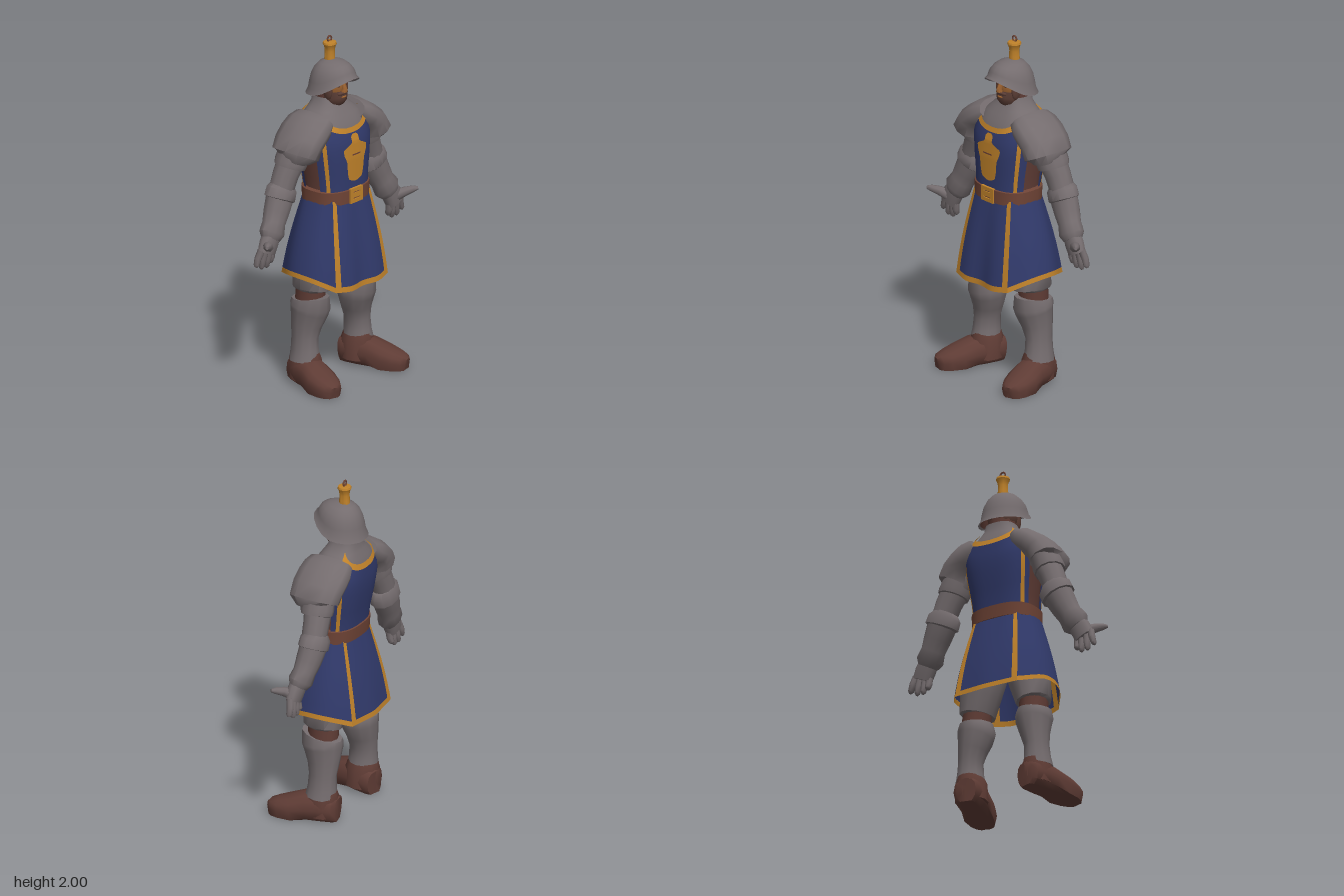
import * as THREE from 'three';
import { toCreasedNormals } from 'three/addons/utils/BufferGeometryUtils.js';

const mat = (name, color) => new THREE.MeshStandardMaterial({ name, color, side: THREE.DoubleSide });
const V = (x, y, z) => new THREE.Vector3(x, y, z);
const lerp = THREE.MathUtils.lerp;
const spow = (v, p) => Math.sign(v) * Math.abs(v) ** p;

// Piecewise linear lookup: rows of [key, value, value...]
function lookup(rows, k) {
  let i = 0;
  while (i < rows.length - 2 && k > rows[i + 1][0]) i++;
  const a = rows[i], b = rows[i + 1];
  const f = THREE.MathUtils.clamp((k - a[0]) / (b[0] - a[0]), 0, 1);
  return a.slice(1).map((v, j) => lerp(v, b[j + 1], f));
}

export function createModel() {
  const steel = mat('steel', 0x746c6e), blue = mat('blue cloth', 0x313a6b), gold = mat('gold', 0xc0822a);
  const leather = mat('leather', 0x5f3c35), strap = mat('belt leather', 0x6e4335);
  const skin = mat('skin', 0x99602f), hair = mat('hair', 0x5a3d35);
  const model = new THREE.Group();

  const add = (name, geo, material, parent = model) => {
    const m = new THREE.Mesh(geo, material);
    m.name = name;
    parent.add(m);
    return m;
  };
  const build = (pos, idx, crease) => {
    const g = new THREE.BufferGeometry();
    g.setAttribute('position', new THREE.Float32BufferAttribute(pos, 3));
    g.setIndex(idx);
    return toCreasedNormals(g, crease);
  };
  // Grid surface from a function of (s, t)
  function patch(fn, s0, s1, t0, t1, ns, nt, crease = 0.9) {
    const pos = [], idx = [], w = ns + 1;
    for (let j = 0; j <= nt; j++)
      for (let i = 0; i <= ns; i++) pos.push(...fn(lerp(s0, s1, i / ns), lerp(t0, t1, j / nt)).toArray());
    for (let j = 0; j < nt; j++)
      for (let i = 0; i < ns; i++) {
        const a = j * w + i;
        idx.push(a, a + w, a + 1, a + 1, a + w, a + w + 1);
      }
    return build(pos, idx, crease);
  }
  // Capped loft along rings [x, y, z, width radius, depth radius]; side mirrors x
  function loft(rings, { side = 1, sides = 12, ref = V(0, 0, 1), power = 1, rule = null } = {}) {
    const c = rings.map(r => V(r[0] * side, r[1], r[2])), pos = [], idx = [], n = c.length;
    c.forEach((p, k) => {
      const t = c[Math.min(k + 1, n - 1)].clone().sub(c[Math.max(k - 1, 0)]).normalize();
      const u = t.clone().cross(ref).normalize(), v = u.clone().cross(t);
      for (let i = 0; i < sides; i++) {
        const a = i / sides * Math.PI * 2;
        const q = p.clone().addScaledVector(u, spow(Math.cos(a), power) * rings[k][3])
          .addScaledVector(v, spow(Math.sin(a), power) * rings[k][4]);
        if (rule) rule(q);
        pos.push(q.x, q.y, q.z);
        const a0 = k * sides + i, a1 = k * sides + (i + 1) % sides;
        if (k < n - 1) idx.push(a0, a0 + sides, a1, a1, a0 + sides, a1 + sides);
        if (k === 0) idx.push(n * sides, a0, a1);
        if (k === n - 1) idx.push(n * sides + 1, a1, a0);
      }
    });
    [c[0], c[n - 1]].forEach(p => { const q = p.clone(); if (rule) rule(q); pos.push(q.x, q.y, q.z); });
    return build(pos, idx, 0.9);
  }

  // Torso surface: [y, half width, front z, back z]
  const body = [[0.9, 0.185, 0.1, -0.14], [1.08, 0.172, 0.12, -0.14], [1.2, 0.18, 0.12, -0.155], [1.32, 0.197, 0.123, -0.178],
    [1.42, 0.208, 0.12, -0.192], [1.5, 0.2, 0.095, -0.19], [1.56, 0.165, 0.06, -0.17], [1.61, 0.1, 0.025, -0.148], [1.66, 0.085, 0.005, -0.143]];
  const surf = (a, y, off = 0) => {
    const [w, f, b] = lookup(body, y);
    return V((w + off) * spow(Math.cos(a), 0.75), y, (f + b) / 2 + ((f - b) / 2 + off) * spow(Math.sin(a), 0.75));
  };
  const TAU = Math.PI * 2, DEG = Math.PI / 180;
  add('jerkin', patch((s, t) => surf(s * TAU, t), 0, 1, 0.9, 1.42, 28, 5), leather);
  add('gorget', patch((s, t) => surf(s * TAU, t), 0, 1, 1.42, 1.655, 28, 7), steel);

  // Cloth panel with gold side borders and a gold end band
  function panel(name, fn, edge, band) {
    const g = new THREE.Group();
    g.name = name;
    model.add(g);
    add('cloth', patch(fn, edge, 1 - edge, 0, 1 - band, 12, 8), blue, g);
    add('hem', patch(fn, 0, 1, 1 - band, 1, 16, 1), gold, g);
    if (edge) for (const s of [0, 1 - edge]) add('border', patch(fn, s, s + edge, 0, 1 - band, 1, 8), gold, g);
  }
  for (const [name, start, low] of [['frontTabard', 30, 1.495], ['backTabard', 210, 1.53]])
    panel(name, (s, t) => surf((start + 120 * s) * DEG, lerp(1.09, low + 0.08 * Math.abs(2 * s - 1) ** 1.6, t), 0.012), 0.075, 0.07);
  // Blue cloth wrapping round the sides under the arms
  for (const [from, to] of [[14, 30], [150, 166], [-30, -18], [198, 210]])
    add('sideCloth', patch((s, t) => surf(s * DEG, t, 0.009), from, to, 1.09, 1.42, 3, 5), blue);

  // Skirt panels hang from a waist curve to a hem curve
  const mirrored = half => [...half.slice(1).reverse().map(([x, y, z]) => [-x, y, z]), ...half];
  const curve = pts => new THREE.CatmullRomCurve3(pts.map(p => V(...p)));
  function skirt(name, top, hem, edge) {
    const a = curve(top), b = curve(hem);
    panel(name, (s, t) => {
      const p = a.getPoint(s).lerp(b.getPoint(s), t), k = 1 + 0.04 * Math.sin(Math.PI * t);
      return V(p.x * k, p.y, p.z * k);
    }, edge, 0.06);
  }
  skirt('skirtFront', mirrored([[0, 1.09, 0.128], [0.085, 1.09, 0.125], [0.155, 1.09, 0.105]]),
    mirrored([[0, 0.573, 0.195], [0.11, 0.573, 0.21], [0.215, 0.585, 0.185]]), 0.085);
  skirt('skirtBack', mirrored([[0, 1.09, -0.15], [0.08, 1.09, -0.147], [0.14, 1.09, -0.13]]),
    mirrored([[0, 0.595, -0.255], [0.1, 0.598, -0.245], [0.205, 0.602, -0.232]]), 0.085);
  for (const s of [1, -1])
    skirt('skirtSide', [[0.155 * s, 1.09, 0.105], [0.185 * s, 1.09, 0.04], [0.182 * s, 1.09, -0.07], [0.14 * s, 1.09, -0.13]],
      [[0.215 * s, 0.585, 0.185], [0.293 * s, 0.637, 0.07], [0.3 * s, 0.645, -0.08], [0.205 * s, 0.602, -0.232]], 0);

  // Chest emblem, a tapered plain shape lying on the cloth: [height, half width]
  const emblem = [[1.185, 0.012], [1.2, 0.052], [1.235, 0.062], [1.31, 0.07], [1.35, 0.088], [1.382, 0.095], [1.402, 0.055], [1.414, 0.029], [1.45, 0.029], [1.462, 0.014]];
  const onChest = (x, y, off) => {
    const [w, f, b] = lookup(body, y);
    const r = Math.abs(x / (w + off)) ** (8 / 3);
    return V(x, y, (f + b) / 2 + ((f - b) / 2 + off) * (1 - r) ** 0.375);
  };
  add('chestEmblem', patch((s, t) => onChest((1 - 2 * s) * lookup(emblem, t)[0], t, 0.018), 0, 1, 1.185, 1.462, 6, 32), gold);
  add('emblemSlit', patch((s, t) => onChest(s, t, 0.022), 0.035, -0.035, 1.341, 1.349, 4, 1), strap);

  // Belt and buckle
  const beltProfile = [[0, 1.055, 0], [1, 1.063, 0.022], [2, 1.138, 0.02], [3, 1.146, 0]];
  add('belt', patch((s, t) => surf(s * TAU, ...lookup(beltProfile, t)), 0, 1, 0, 3, 28, 3, 0.6), strap);
  const frame = new THREE.Shape([[-0.05, -0.043], [0.05, -0.043], [0.05, 0.043], [-0.05, 0.043]].map(p => new THREE.Vector2(...p)));
  frame.holes.push(new THREE.Path([[-0.03, -0.022], [-0.03, 0.022], [0.03, 0.022], [0.03, -0.022]].map(p => new THREE.Vector2(...p))));
  add('buckle', new THREE.ExtrudeGeometry(frame, { depth: 0.016, bevelEnabled: false }), gold).position.set(0, 1.102, 0.131);
  add('bucklePin', new THREE.BoxGeometry(0.065, 0.028, 0.012), gold).position.set(0, 1.102, 0.139);

  for (const side of [1, -1]) {
    const limb = (name, rings, m, opt = {}) => add(name, loft(rings, { side, ...opt }), m);
    // Arm
    limb('pauldron', [[0.13, 1.54, -0.05, 0.062, 0.135], [0.172, 1.515, -0.05, 0.078, 0.152], [0.22, 1.482, -0.048, 0.08, 0.158],
      [0.268, 1.44, -0.045, 0.083, 0.156], [0.3, 1.38, -0.042, 0.095, 0.148], [0.3, 1.368, -0.045, 0.075, 0.11]], steel, { sides: 12, power: 0.85 });
    limb('armPlate', [[0.28, 1.41, -0.06, 0.08, 0.095], [0.31, 1.33, -0.068, 0.09, 0.095], [0.318, 1.305, -0.07, 0.088, 0.09],
      [0.32, 1.3, -0.07, 0.07, 0.07]], steel);
    limb('upperArm', [[0.25, 1.45, -0.06, 0.08, 0.085], [0.3, 1.34, -0.07, 0.08, 0.08], [0.34, 1.26, -0.08, 0.076, 0.073],
      [0.38, 1.16, -0.085, 0.07, 0.07]], steel);
    limb('elbowCuff', [[0.352, 1.205, -0.088, 0.072, 0.065], [0.364, 1.178, -0.088, 0.1, 0.08], [0.384, 1.13, -0.086, 0.102, 0.082],
      [0.388, 1.122, -0.086, 0.08, 0.07]], steel);
    limb('bracer', [[0.38, 1.14, -0.086, 0.09, 0.074], [0.42, 1.06, -0.078, 0.08, 0.07], [0.45, 1.005, -0.07, 0.072, 0.062],
      [0.478, 0.955, -0.06, 0.083, 0.066], [0.495, 0.925, -0.055, 0.062, 0.048]], steel);
    // Gauntlet hand
    limb('palm', [[0.485, 0.95, -0.055, 0.055, 0.042], [0.51, 0.91, -0.052, 0.062, 0.042], [0.535, 0.855, -0.05, 0.06, 0.034]], steel, { power: 0.8 });
    [[0.488, 0.855, 0.492, 0.785], [0.515, 0.86, 0.522, 0.765], [0.547, 0.87, 0.562, 0.766], [0.575, 0.885, 0.606, 0.788]].forEach(([x0, y0, x1, y1], i) =>
      limb('finger', [[x0, y0, -0.05, 0.02, 0.022], [(x0 + x1) / 2, (y0 + y1) / 2, -0.053 - i * 0.003, 0.019, 0.021],
        [lerp(x0, x1, 0.88), lerp(y0, y1, 0.88), -0.062, 0.016, 0.018], [x1, y1, -0.064, 0.008, 0.009]], steel, { sides: 8 }));
    limb('thumb', [[0.53, 0.895, -0.04, 0.034, 0.032], [0.572, 0.918, -0.005, 0.026, 0.026], [0.608, 0.93, 0.024, 0.019, 0.019],
      [0.628, 0.934, 0.04, 0.009, 0.009]], steel, { sides: 8 });
    // Leg
    limb('thigh', [[0.1, 0.98, -0.02, 0.1, 0.11], [0.13, 0.8, -0.025, 0.125, 0.13], [0.165, 0.66, -0.03, 0.115, 0.12],
      [0.185, 0.555, -0.028, 0.097, 0.112], [0.185, 0.55, -0.028, 0.075, 0.085]], steel);
    limb('knee', [[0.185, 0.58, -0.03, 0.08, 0.088], [0.19, 0.46, -0.035, 0.078, 0.088]], leather);
    limb('greave', [[0.192, 0.505, -0.028, 0.082, 0.122], [0.19, 0.455, -0.03, 0.102, 0.122], [0.192, 0.42, -0.036, 0.098, 0.114],
      [0.206, 0.34, -0.046, 0.08, 0.093], [0.217, 0.27, -0.047, 0.067, 0.081], [0.22, 0.2, -0.045, 0.072, 0.084],
      [0.222, 0.138, -0.042, 0.084, 0.093]], steel, { rule: q => { if (q.y > 0.48) q.y += (q.z + 0.03) * 0.2; } });
    // Boot
    limb('bootCuff', [[0.219, 0.178, -0.045, 0.07, 0.088], [0.217, 0.14, -0.043, 0.087, 0.098], [0.215, 0.03, -0.04, 0.09, 0.1]], leather);
    limb('boot', [[0.195, 0.07, -0.138, 0.06, 0.068], [0.203, 0.072, -0.11, 0.078, 0.08], [0.224, 0.074, -0.03, 0.088, 0.09],
      [0.243, 0.07, 0.04, 0.088, 0.084], [0.268, 0.057, 0.12, 0.094, 0.066], [0.286, 0.047, 0.19, 0.08, 0.052],
      [0.298, 0.04, 0.232, 0.058, 0.043], [0.303, 0.036, 0.25, 0.03, 0.03]], leather, { ref: V(0, 1, 0), power: 0.8, rule: q => {
      if (q.y < 0.02) q.y = 0;
      q.z = Math.max(q.z, -0.142);
    } });
  }

  // Head
  const ball = (name, m, x, y, z, rx, ry, rz) => {
    const g = new THREE.SphereGeometry(1, 16, 10);
    g.scale(rx, ry, rz);
    add(name, g, m).position.set(x, y, z);
  };
  add('neck', loft([[0, 1.72, -0.06, 0.08, 0.085], [0, 1.56, -0.06, 0.075, 0.075]]), leather);
  ball('face', skin, 0, 1.72, -0.035, 0.072, 0.105, 0.085);
  ball('backHair', hair, 0, 1.71, -0.06, 0.085, 0.095, 0.085);
  add('beard', loft([[0, 1.685, -0.025, 0.077, 0.073], [0, 1.645, -0.02, 0.073, 0.076], [0, 1.615, -0.012, 0.06, 0.066],
    [0, 1.595, -0.005, 0.035, 0.04]]), hair);
  ball('moustache', hair, 0, 1.681, 0.04, 0.042, 0.012, 0.016);
  ball('mouth', skin, 0, 1.66, 0.05, 0.02, 0.006, 0.008);
  add('nose', loft([[0, 1.745, 0.04, 0.01, 0.012], [0, 1.71, 0.054, 0.014, 0.018], [0, 1.692, 0.052, 0.019, 0.02]], { sides: 8 }), skin);
  for (const s of [1, -1]) {
    ball('eye', hair, s * 0.032, 1.727, 0.037, 0.014, 0.007, 0.008);
    ball('eyebrow', hair, s * 0.034, 1.746, 0.036, 0.026, 0.009, 0.012);
    ball('sideburn', hair, s * 0.066, 1.7, -0.01, 0.015, 0.055, 0.03);
  }

  // Kettle helmet with a brim raised at the front, and its lining: [step, radius, height]
  const dome = [[0, 1, 0], [1, 0.9, 0.16], [2, 0.855, 0.36], [3, 0.79, 0.56], [4, 0.67, 0.75], [5, 0.48, 0.9], [6, 0.25, 0.975], [7, 0, 1]];
  const helmetPoint = scale => (s, t) => {
    const a = s * TAU, f = Math.sin(a), [r, h] = lookup(dome, t);
    const brim = f > 0 ? 1.68 + 0.1 * f ** 1.3 : 1.68 + 0.02 * f;
    return V(0.146 * scale * r * Math.cos(a), lerp(brim, 1.866 - (1 - scale) * 0.2, h), -0.045 + (f > 0 ? 0.167 : 0.142) * scale * r * f);
  };
  add('helmet', patch(helmetPoint(1), 0, 1, 0, 7, 20, 7), steel);
  add('helmetLining', patch(helmetPoint(0.95), 0, 1, 0.3, 7, 20, 7), leather);
  const holder = [[0, 1.855], [0.031, 1.855], [0.03, 1.88], [0.028, 1.91], [0.032, 1.935], [0.04, 1.95], [0.037, 1.961], [0, 1.966]];
  add('plumeHolder', toCreasedNormals(new THREE.LatheGeometry(holder.map(p => new THREE.Vector2(...p)), 10), 0.7), gold).position.z = -0.056;
  add('topRing', new THREE.TorusGeometry(0.016, 0.005, 6, 14), strap).position.set(0, 1.979, -0.058);
  return model;
}
